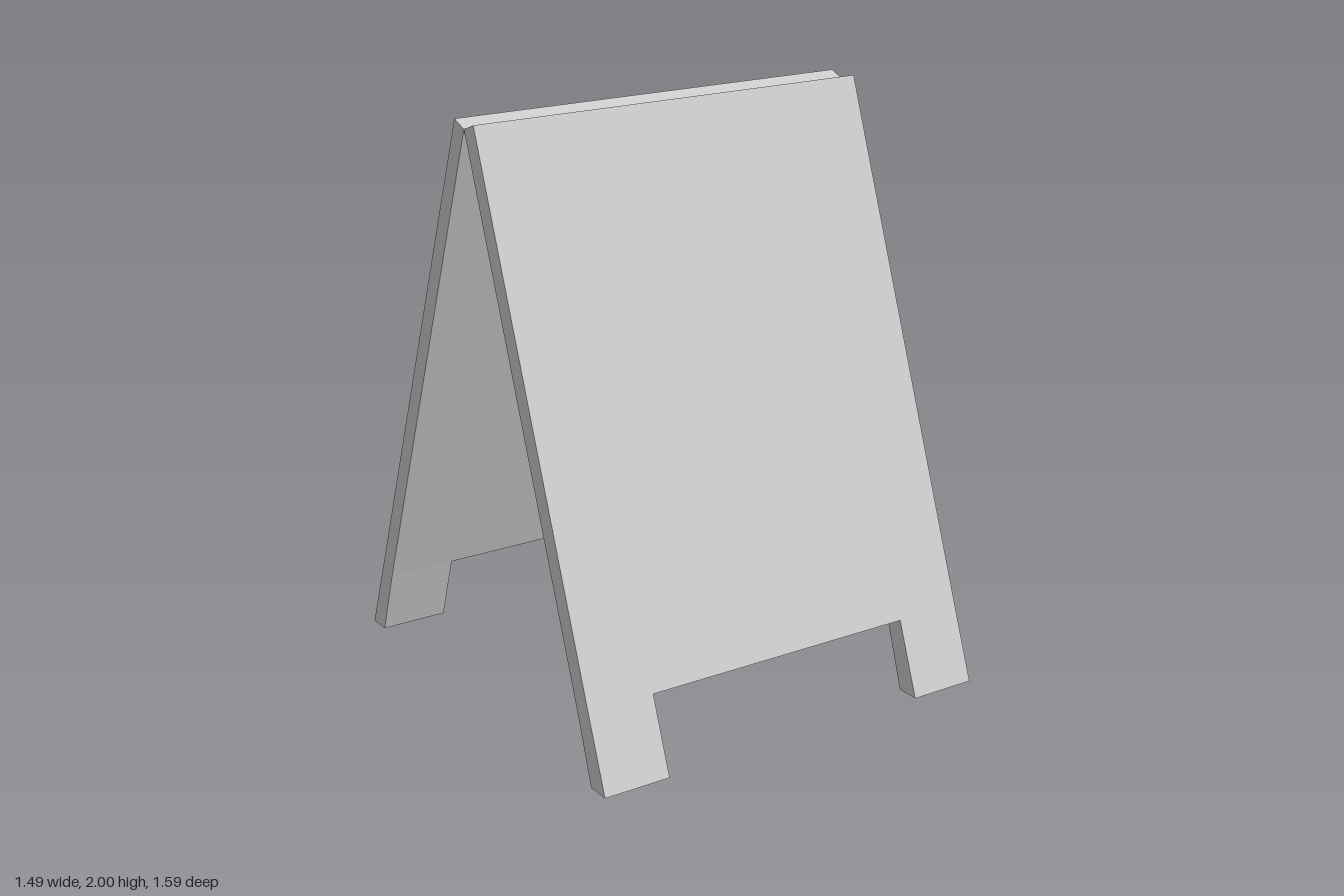
import * as THREE from 'three';

// Side profile of one panel as [z, y]: outer face is straight, inner face bends where the legs begin
const outerTop = [0.061, 2], innerTop = [0, 1.977];
const outerCut = [0.701, 0.255], innerCut = [0.635, 0.235];
const outerFoot = [0.795, 0], innerFoot = [0.713, 0];

const HALF_WIDTH = 0.745;
const LEG_INNER = 0.503;

const material = new THREE.MeshStandardMaterial({ color: 0xcccccc, flatShading: true });

// Extrudes a [z, y] profile along x from x0 to x1
function slab(name, profile, x0, x1) {
  const shape = new THREE.Shape(profile.map(([z, y]) => new THREE.Vector2(z, y)));
  const geometry = new THREE.ExtrudeGeometry(shape, { depth: x1 - x0, bevelEnabled: false });
  geometry.rotateY(-Math.PI / 2).translate(x1, 0, 0);
  const mesh = new THREE.Mesh(geometry, material);
  mesh.name = name;
  return mesh;
}

// One leaning panel: the board with a leg at each lower corner
function makePanel(name) {
  const panel = new THREE.Group();
  panel.name = name;
  const leg = [outerCut, innerCut, innerFoot, outerFoot];
  panel.add(
    slab('board', [outerTop, innerTop, innerCut, outerCut], -HALF_WIDTH, HALF_WIDTH),
    slab('leftLeg', leg, LEG_INNER, HALF_WIDTH),
    slab('rightLeg', leg, -HALF_WIDTH, -LEG_INNER)
  );
  return panel;
}

export function createModel() {
  const model = new THREE.Group();
  model.name = 'sandwichBoard';

  // Two matching panels meet along the top inner edge
  const front = makePanel('frontPanel');
  const back = makePanel('backPanel');
  back.rotation.y = Math.PI;
  model.add(front, back);

  return model;
}
